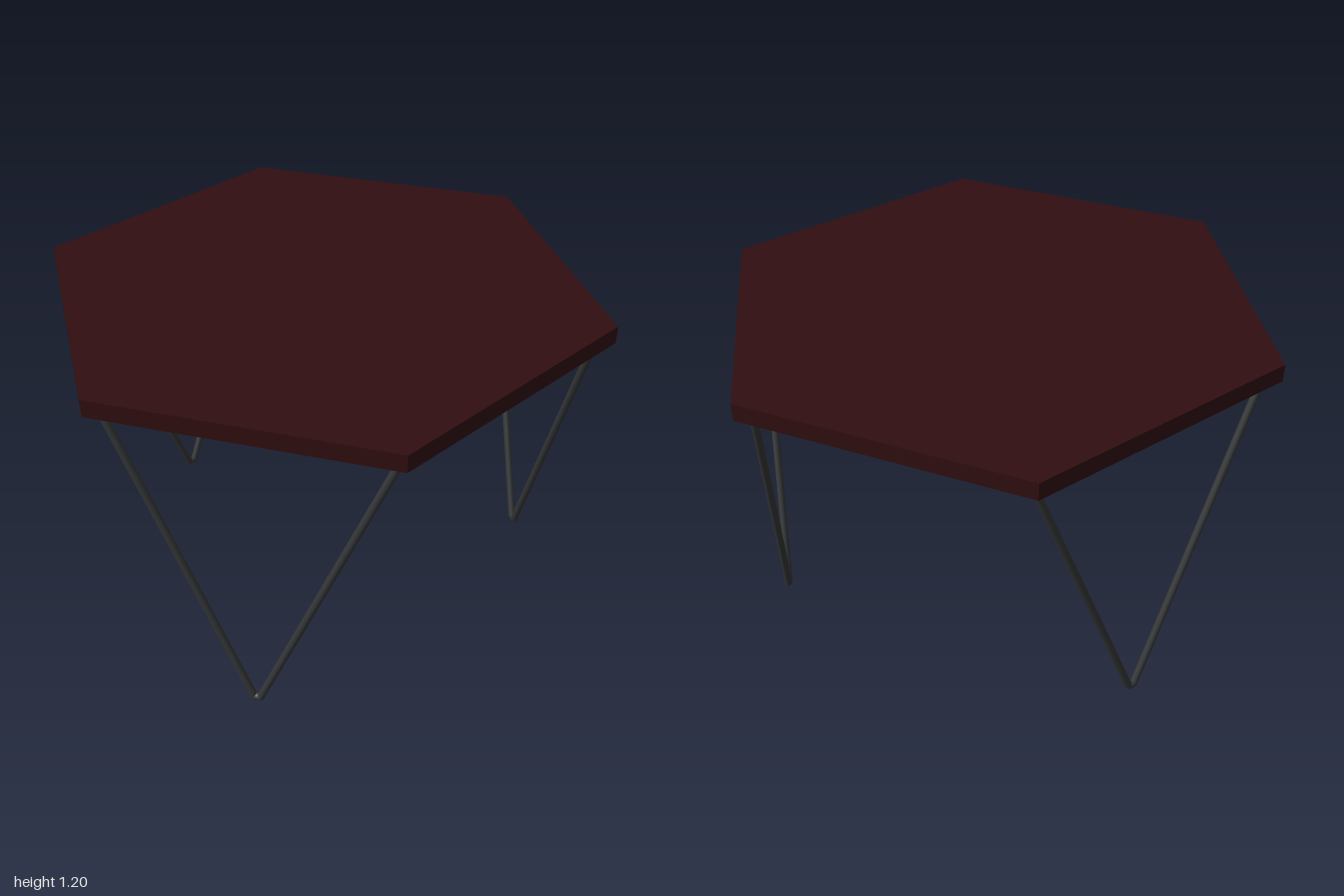
import * as THREE from 'three';

const TOP_Y = 1.2, TOP_T = 0.062;
const ROD_R = 0.0135, ROD_Y = 1.122, FRAME_R = 0.932;

export function createModel() {
  const wood = new THREE.MeshStandardMaterial({ color: 0x300e10 });
  wood.name = 'darkWood';
  const steel = new THREE.MeshStandardMaterial({ color: 0x343536 });
  steel.name = 'darkSteel';

  const group = new THREE.Group();
  group.name = 'hexagonTable';

  const add = (parent, geo, mat, name) => {
    const mesh = new THREE.Mesh(geo, mat);
    mesh.name = name;
    parent.add(mesh);
    return mesh;
  };

  // Hexagonal slab with crisp edges, corners on the x axis
  const slab = new THREE.CylinderGeometry(1, 1, TOP_T, 6, 1, false, Math.PI / 2).toNonIndexed();
  slab.computeVertexNormals();
  add(group, slab, wood, 'tableTop').position.y = TOP_Y - TOP_T / 2;

  // Straight round rod between two points
  const rod = (parent, a, b, name) => {
    const d = b.clone().sub(a);
    const mesh = add(parent, new THREE.CylinderGeometry(ROD_R, ROD_R, d.length(), 12), steel, name);
    mesh.position.copy(a).add(b).multiplyScalar(0.5);
    mesh.quaternion.setFromUnitVectors(new THREE.Vector3(0, 1, 0), d.normalize());
  };
  // Rounded bend where two rods meet
  const bend = (parent, p) =>
    add(parent, new THREE.SphereGeometry(ROD_R, 12, 8), steel, 'rodBend').position.copy(p);

  const corner = (i) => new THREE.Vector3(
    FRAME_R * Math.cos(i * Math.PI / 3), ROD_Y, FRAME_R * Math.sin(i * Math.PI / 3));

  const frame = new THREE.Group();
  frame.name = 'rodFrame';
  group.add(frame);

  // One bent rod alternates between V legs and bars under the top
  for (let i = 0; i < 6; i++) {
    const a = corner(i), b = corner(i + 1);
    const mid = a.clone().add(b).multiplyScalar(0.5);
    const along = b.clone().sub(a).normalize();
    bend(frame, a);
    if (i % 2 === 0) {
      // V leg with a short flat foot
      const leg = new THREE.Group();
      leg.name = 'vLeg';
      frame.add(leg);
      const foot = mid.clone().setY(ROD_R);
      const footA = foot.clone().addScaledVector(along, -0.012);
      const footB = foot.clone().addScaledVector(along, 0.012);
      rod(leg, a, footA, 'legRod');
      rod(leg, footA, footB, 'foot');
      rod(leg, footB, b, 'legRod');
      bend(leg, footA);
      bend(leg, footB);
    } else {
      rod(frame, a, b, 'topBar');
      // Two thin mounting tabs reaching inwards from each bar
      const inward = mid.clone().setY(0).normalize().negate();
      for (const s of [-0.22, 0.22]) {
        const tab = add(frame, new THREE.BoxGeometry(0.04, 0.006, 0.055), steel, 'mountingTab');
        tab.position.copy(mid).addScaledVector(along, s).addScaledVector(inward, 0.027);
        tab.position.y = TOP_Y - TOP_T - 0.003;
        tab.rotation.y = Math.atan2(inward.x, inward.z);
      }
    }
  }
  return group;
}
